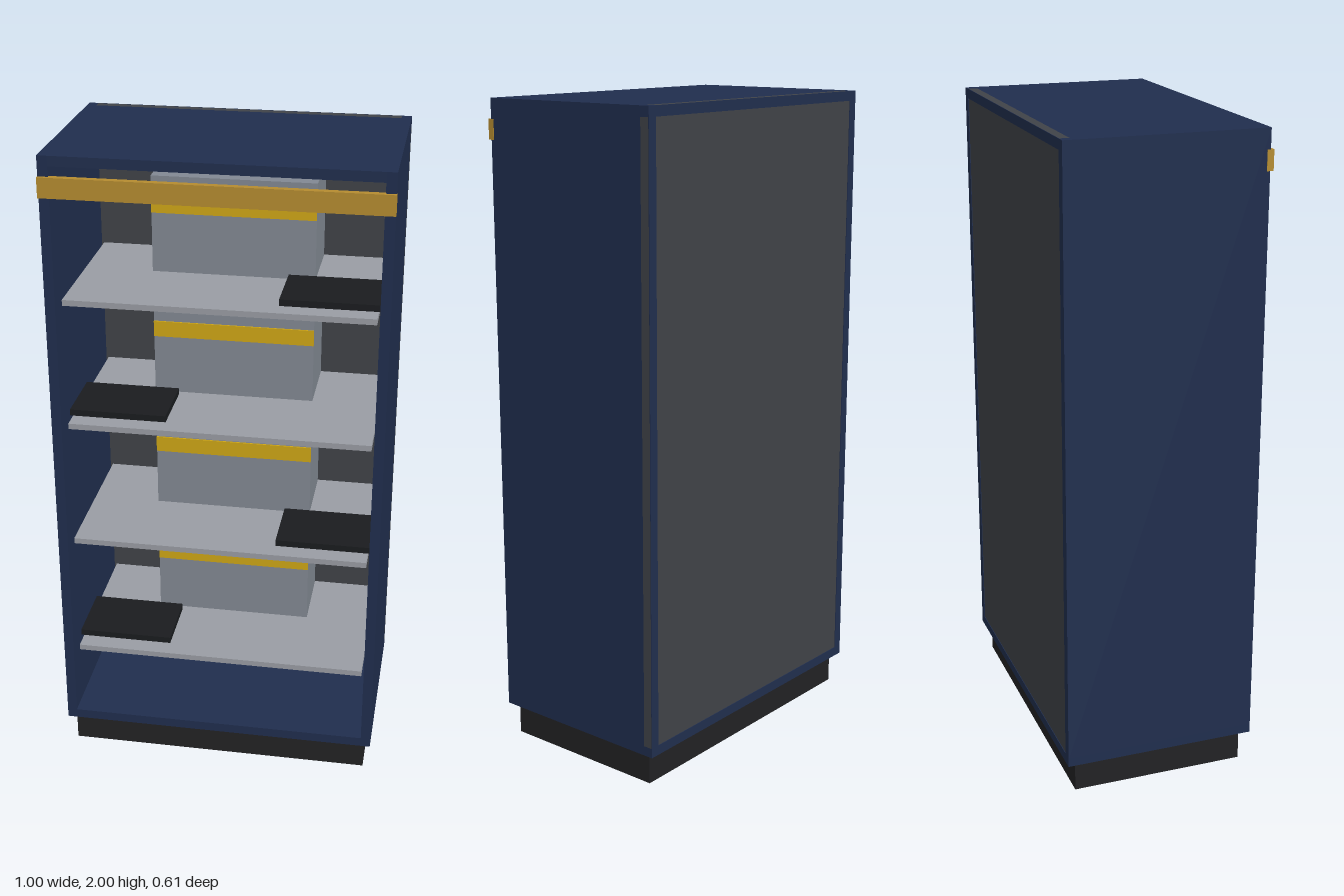
import * as THREE from 'three';

const mat = (color) => new THREE.MeshStandardMaterial({ color });
const NAVY = mat(0x202e4e), CHARCOAL = mat(0x404348), BLACK = mat(0x222224);
const TABLET = mat(0x1a1c1f), SHELF = mat(0x9a9da4), CASE = mat(0x828993);
const YELLOW = mat(0xcfa616), GOLD = mat(0xb58c30);

// Box given by its low and high corner on each axis
function block(parent, name, material, [x0, x1], [y0, y1], [z0, z1]) {
  const mesh = new THREE.Mesh(new THREE.BoxGeometry(x1 - x0, y1 - y0, z1 - z0), material);
  mesh.position.set((x0 + x1) / 2, (y0 + y1) / 2, (z0 + z1) / 2);
  mesh.name = name;
  parent.add(mesh);
  return mesh;
}

export function createModel() {
  const model = new THREE.Group();
  model.name = 'displayCabinet';
  const front = 0.295, back = -0.305, inner = -0.275;

  // Recessed plinth
  block(model, 'plinth', BLACK, [-0.478, 0.478], [0, 0.1], [-0.277, 0.267]);

  // Carcass
  block(model, 'bottomPanel', NAVY, [-0.5, 0.5], [0.1, 0.13], [back + 0.002, front]);
  block(model, 'topPanel', NAVY, [-0.47, 0.47], [1.97, 2], [inner, front]);
  block(model, 'leftPanel', NAVY, [0.47, 0.5], [0.13, 2], [inner, front]);
  block(model, 'rightPanel', NAVY, [-0.5, -0.47], [0.13, 2], [back + 0.002, front]);
  block(model, 'topCorner', NAVY, [0.47, 0.5], [1.97, 2], [back + 0.002, inner]);

  // Back panel with its exposed top and side edges
  block(model, 'backPanel', CHARCOAL, [-0.47, 0.5], [0.13, 1.97], [back + 0.002, inner]);
  block(model, 'backPanelTopEdge', CHARCOAL, [-0.47, 0.47], [1.97, 2], [back + 0.002, inner]);

  // Thin border around the back panel
  const border = new THREE.Shape([[-0.5, 0.1], [0.5, 0.1], [0.5, 2], [-0.5, 2]].map((p) => new THREE.Vector2(...p)));
  border.holes.push(new THREE.Path([[-0.47, 0.13], [-0.47, 1.97], [0.47, 1.97], [0.47, 0.13]].map((p) => new THREE.Vector2(...p))));
  const frame = new THREE.Mesh(new THREE.ExtrudeGeometry(border, { depth: 0.002, bevelEnabled: false }), NAVY);
  frame.position.z = back;
  frame.name = 'backBorder';
  model.add(frame);

  // Trim bar across the front
  block(model, 'trimBar', GOLD, [-0.501, 0.501], [1.88, 1.94], [0.285, 0.305]);

  // Four shelves, each with a case and a flat slab on alternating sides
  for (let i = 0; i < 4; i++) {
    const bay = new THREE.Group();
    bay.name = `shelfBay${i + 1}`;
    bay.position.y = 0.36 + 0.4 * i;
    block(bay, 'shelf', SHELF, [-0.46, 0.46], [-0.018, 0], [-0.265, 0.255]);
    block(bay, 'case', CASE, [-0.25, 0.25], [0, 0.3], [-0.26, -0.03]);
    block(bay, 'caseStripe', YELLOW, [-0.25, 0.25], [0.187, 0.237], [-0.03, -0.025]);
    const x = i % 2 ? 0.32 : -0.32;
    block(bay, 'slab', TABLET, [x - 0.149, x + 0.149], [0, 0.02], [-0.012, 0.197]);
    model.add(bay);
  }
  return model;
}
